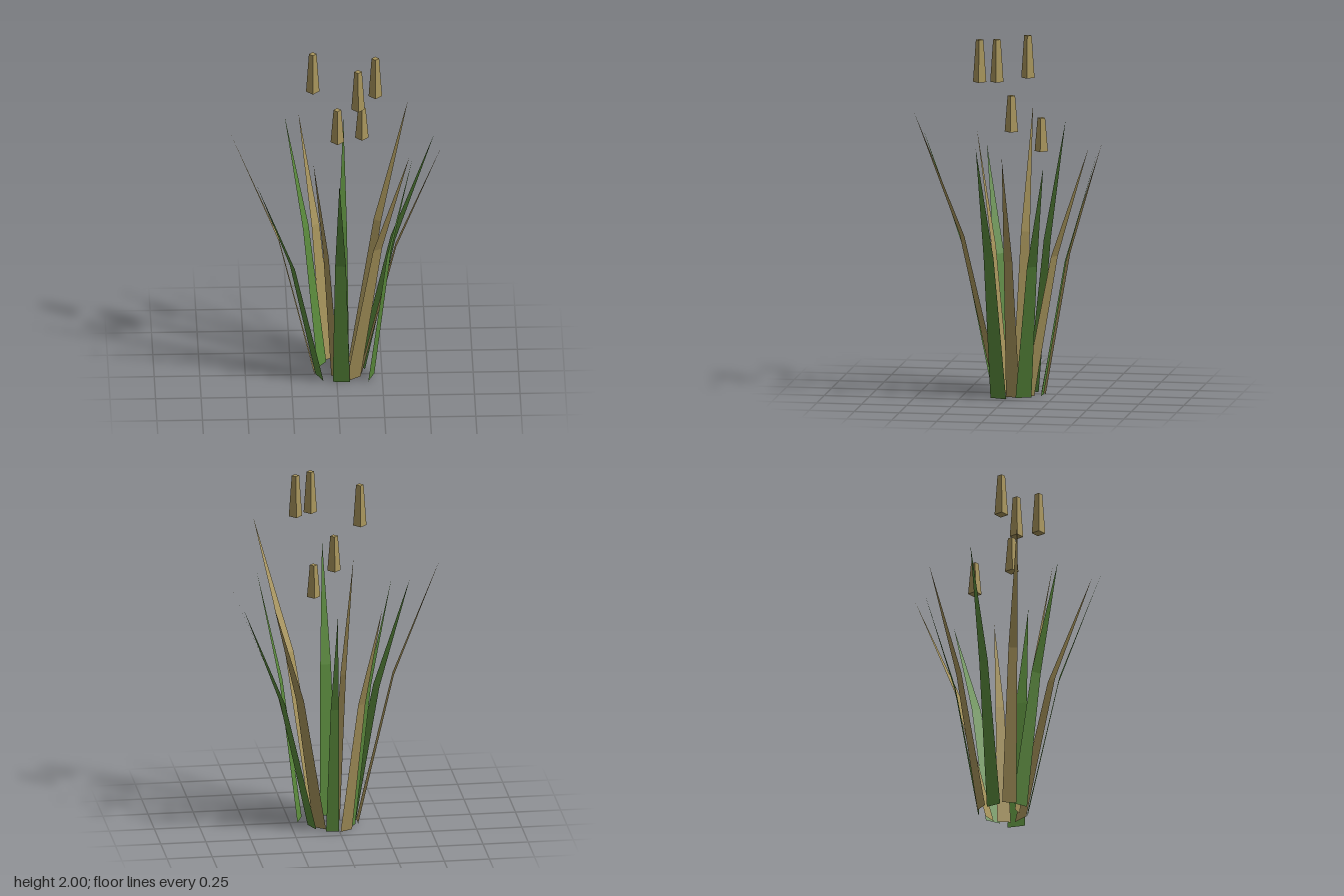
import * as THREE from 'three';

// Blades: base centre x, z, tip x, y, z, base width
const GREEN_BLADES = [
  [0.038, -0.178, 0.052, 1.34, -0.48, 0.072],
  [0.14, -0.09, 0.545, 1.35, -0.267, 0.09],
  [0.19, 0.042, 0.414, 1.42, 0.13, 0.1],
  [0.024, 0.089, 0.002, 1.46, 0.492, 0.094],
  [-0.094, 0.035, -0.445, 1.31, 0.211, 0.094],
  [-0.077, -0.108, -0.277, 1.48, -0.255, 0.085],
];
const STRAW_BLADES = [
  [-0.039, -0.172, -0.195, 1.38, -0.473, 0.077],
  [0.1, -0.113, 0.408, 1.44, -0.495, 0.08],
  [0.136, -0.03, 0.58, 1.4, -0.042, 0.075],
  [0.092, 0.057, 0.386, 1.62, 0.48, 0.097],
  [-0.007, 0.03, -0.133, 1.44, 0.214, 0.054],
  [-0.12, -0.025, -0.583, 1.51, -0.023, 0.078],
];
// Seed heads: x, z, bottom y, top y
const HEADS = [
  [-0.128, -0.07, 1.735, 1.97],
  [0.114, 0.158, 1.745, 1.98],
  [0.212, 0.046, 1.765, 2.0],
  [0.005, 0, 1.455, 1.655],
  [0.145, -0.19, 1.375, 1.56],
];

// A flat blade that leans out, kinks once and ends in a point
function bladeGeometry([bx, bz, tx, ty, tz, width]) {
  const base = new THREE.Vector3(bx, 0, bz);
  const tip = new THREE.Vector3(tx, ty, tz);
  const mid = new THREE.Vector3(
    THREE.MathUtils.lerp(bx, tx, 0.43), ty * 0.56, THREE.MathUtils.lerp(bz, tz, 0.43));
  const side = new THREE.Vector3(tz - bz, 0, bx - tx).normalize().multiplyScalar(width / 2);
  const corner = (p, s) => p.clone().addScaledVector(side, s);
  const a = corner(base, 1), b = corner(base, -1);
  const c = corner(mid, -0.63), d = corner(mid, 0.63);
  const geometry = new THREE.BufferGeometry().setFromPoints([a, b, c, a, c, d, d, c, tip]);
  geometry.computeVertexNormals();
  return geometry;
}

export function createModel() {
  const model = new THREE.Group();
  model.name = 'reedClump';

  const green = new THREE.MeshStandardMaterial({ color: 0x5a8a3c, flatShading: true, side: THREE.DoubleSide });
  green.name = 'leafGreen';
  const straw = new THREE.MeshStandardMaterial({ color: 0xa8955c, flatShading: true, side: THREE.DoubleSide });
  straw.name = 'dryStraw';

  const add = (geometry, material, name) => {
    const mesh = new THREE.Mesh(geometry, material);
    mesh.name = name;
    model.add(mesh);
    return mesh;
  };

  // Ring of alternating blades
  GREEN_BLADES.forEach((blade, i) => add(bladeGeometry(blade), green, `greenBlade${i + 1}`));
  STRAW_BLADES.forEach((blade, i) => add(bladeGeometry(blade), straw, `dryBlade${i + 1}`));

  // Four-sided tapered seed heads
  HEADS.forEach(([x, z, y0, y1], i) => {
    const head = add(new THREE.CylinderGeometry(0.021, 0.037, y1 - y0, 4), straw, `seedHead${i + 1}`);
    head.position.set(x, (y0 + y1) / 2, z);
  });

  return model;
}
